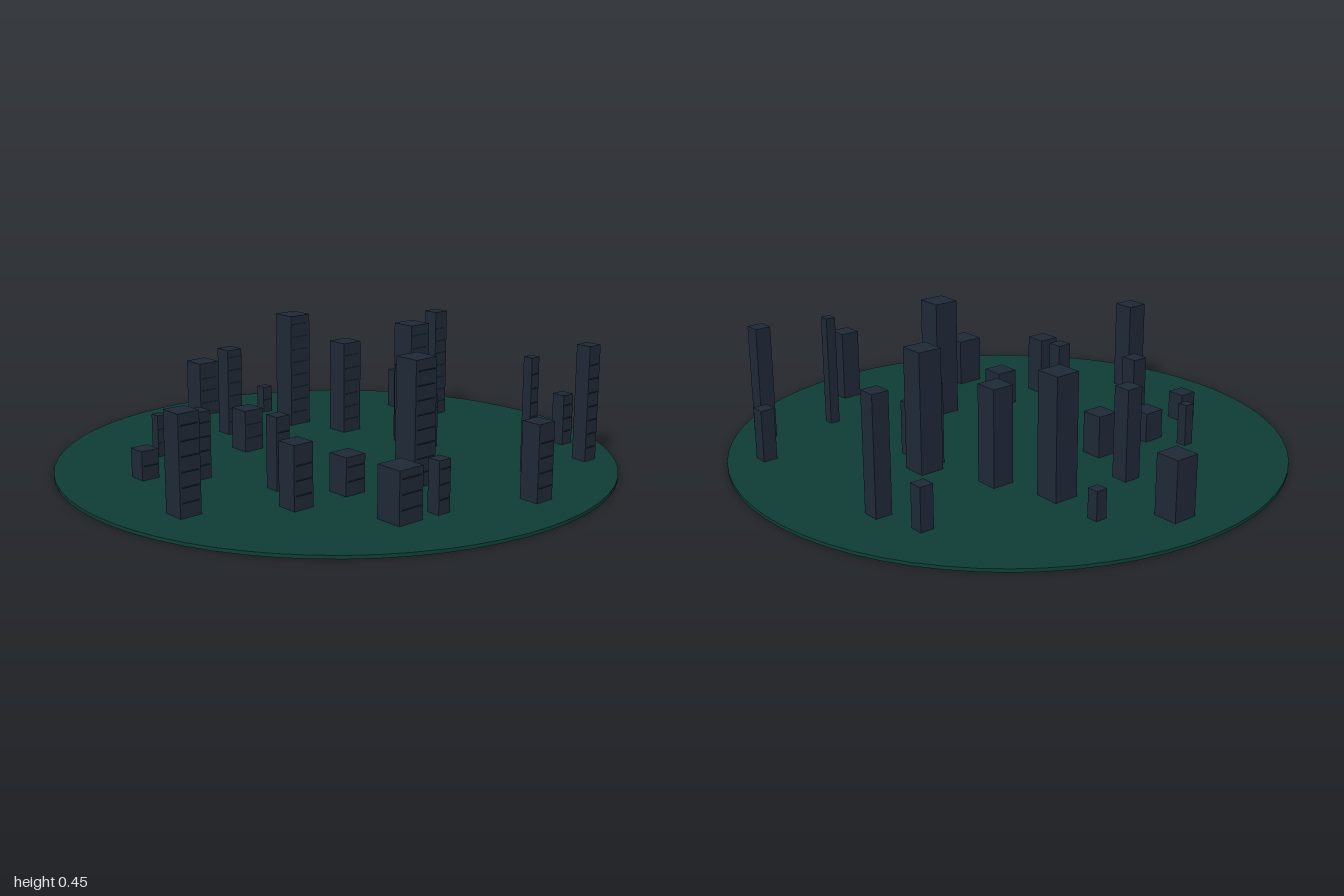
import * as THREE from 'three';

export function createModel() {
  const city = new THREE.Group();
  city.name = 'city';

  const mat = (name, color) => {
    const m = new THREE.MeshStandardMaterial({ color });
    m.name = name;
    return m;
  };
  const groundGreen = mat('ground green', 0x0f3d36);
  const towerSlate = mat('tower slate', 0x1f2937);
  const ledgeTeal = mat('ledge dark teal', 0x12303a);

  // Round ground disc
  const groundHeight = 0.012;
  const ground = new THREE.Mesh(new THREE.CylinderGeometry(1, 1, groundHeight, 64), groundGreen);
  ground.name = 'ground';
  ground.position.y = groundHeight / 2;
  city.add(ground);

  // Towers: x, z, width, top height
  const towers = [
    [-0.39, -0.67, 0.05, 0.165],
    [-0.215, -0.715, 0.062, 0.43],
    [0.417, -0.755, 0.052, 0.2],
    [0.607, -0.65, 0.058, 0.43],
    [0.578, -0.38, 0.037, 0.42],
    [0.795, -0.172, 0.073, 0.275],
    [-0.013, -0.385, 0.09, 0.45],
    [0.027, -0.34, 0.08, 0.305],
    [0.108, -0.32, 0.087, 0.21],
    [-0.257, -0.268, 0.083, 0.36],
    [-0.473, -0.185, 0.092, 0.445],
    [-0.682, -0.203, 0.042, 0.115],
    [-0.826, 0, 0.09, 0.225],
    [-0.51, 0.095, 0.064, 0.34],
    [-0.29, 0.18, 0.08, 0.165],
    [0.415, 0.007, 0.095, 0.45],
    [0.68, 0.16, 0.05, 0.19],
    [0.65, 0.3, 0.1, 0.19],
    [0.337, 0.242, 0.083, 0.145],
    [0.157, 0.39, 0.055, 0.265],
    [-0.292, 0.413, 0.08, 0.12],
    [-0.425, 0.475, 0.038, 0.165],
    [-0.113, 0.523, 0.062, 0.25],
    [0.345, 0.467, 0.078, 0.23],
    [-0.235, 0.66, 0.067, 0.115],
    [0.167, 0.777, 0.08, 0.35],
  ];

  towers.forEach(([x, z, width, top], i) => {
    const tower = new THREE.Group();
    tower.name = `tower${i + 1}`;
    tower.position.set(x, groundHeight, z);
    city.add(tower);

    const height = top - groundHeight;
    const body = new THREE.Mesh(new THREE.BoxGeometry(width, height, width), towerSlate);
    body.name = 'towerBody';
    body.position.y = height / 2;
    tower.add(body);

    // Thin floor ledges along the +x wall
    const ledgeGeometry = new THREE.BoxGeometry(0.005, 0.003, width * 0.8);
    for (let y = 0.05; y < height - 0.02; y += 0.05) {
      const ledge = new THREE.Mesh(ledgeGeometry, ledgeTeal);
      ledge.name = 'floorLedge';
      ledge.position.set(width / 2 + 0.0015, y, 0);
      tower.add(ledge);
    }
  });

  return city;
}
